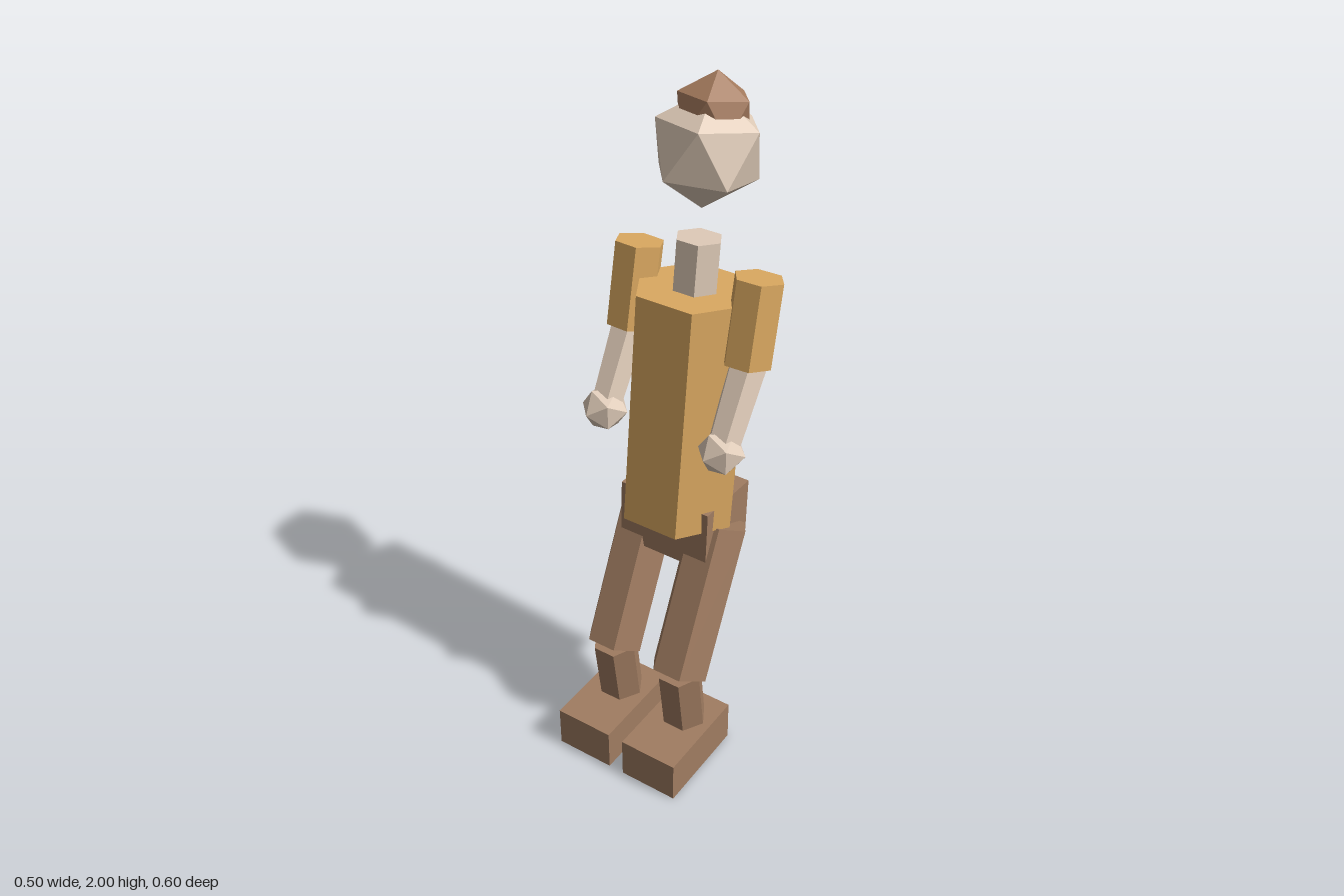
import * as THREE from 'three';

export function createModel() {
  const root = new THREE.Group();
  root.name = 'figure';

  const material = (name, color) => {
    const m = new THREE.MeshStandardMaterial({ color });
    m.name = name;
    return m;
  };
  const ochre = material('ochre cloth', 0xdba961);
  const brown = material('brown cloth', 0xa07c61);
  const hairBrown = material('brown hair', 0xa57b5e);
  const skin = material('pale skin', 0xdfcbb8);

  const add = (name, geometry, mat, x, y, z) => {
    const mesh = new THREE.Mesh(geometry, mat);
    mesh.name = name;
    mesh.position.set(x, y, z);
    root.add(mesh);
    return mesh;
  };

  // Faceted six-sided limb leaning in the y-z plane; top and bottom are [y, z]
  const limb = (name, mat, x, top, bottom, rTop, rBottom = rTop, twist = 0) => {
    const dy = top[0] - bottom[0], dz = top[1] - bottom[1];
    const indexed = new THREE.CylinderGeometry(rTop, rBottom, Math.hypot(dy, dz), 6, 1, false, Math.PI / 6);
    const geometry = indexed.toNonIndexed();
    geometry.computeVertexNormals();
    geometry.rotateY(twist);
    geometry.rotateX(Math.atan2(dz, dy));
    return add(name, geometry, mat, x, (top[0] + bottom[0]) / 2, (top[1] + bottom[1]) / 2);
  };

  // Icosahedron with a corner at its pole, spun about the pole, tilted, then turned
  const ball = (name, mat, r, [x, y, z], spin, tilt, yaw = 0) => {
    const geometry = new THREE.IcosahedronGeometry(r, 0);
    geometry.rotateZ(Math.atan(2 / (1 + Math.sqrt(5))));
    geometry.rotateY(spin);
    geometry.rotateX(tilt);
    geometry.rotateY(yaw);
    return add(name, geometry, mat, x, y, z);
  };

  // Body
  limb('torso', ochre, 0, [1.445, -0.108], [0.775, -0.033], 0.17);
  limb('neck', skin, 0, [1.583, -0.125], [1.43, -0.106], 0.065);
  const hips = add('hips', new THREE.BoxGeometry(0.286, 0.19, 0.215), brown, 0, 0.748, -0.063);
  hips.rotation.x = -0.05;

  // Head and hair
  ball('head', skin, 0.154, [0, 1.812, -0.16], 0.65, -0.167);
  ball('hair', hairBrown, 0.106, [0, 1.8955, -0.184], 0.65, -0.167);

  // Arms and legs, right then left
  for (const [side, s] of [['right', -1], ['left', 1]]) {
    limb(side + 'UpperArm', ochre, s * 0.183, [1.5225, -0.122], [1.295, -0.074], 0.069, 0.069, s * 0.07);
    limb(side + 'Forearm', skin, s * 0.187, [1.3, -0.08], [1.085, 0.048], 0.054, 0.046);
    ball(side + 'Hand', skin, 0.066, [s * 0.187, 1.088, 0.048], 0, Math.PI / 2, -0.26);
    limb(side + 'Thigh', brown, s * 0.114, [0.752, -0.066], [0.334, 0.132], 0.088);
    limb(side + 'Shin', brown, s * 0.114, [0.335, 0.132], [0.05, 0.096], 0.067);
    add(side + 'Shoe', new THREE.BoxGeometry(0.18, 0.13, 0.3), brown, s * 0.114, 0.065, 0.15);
  }

  return root;
}
